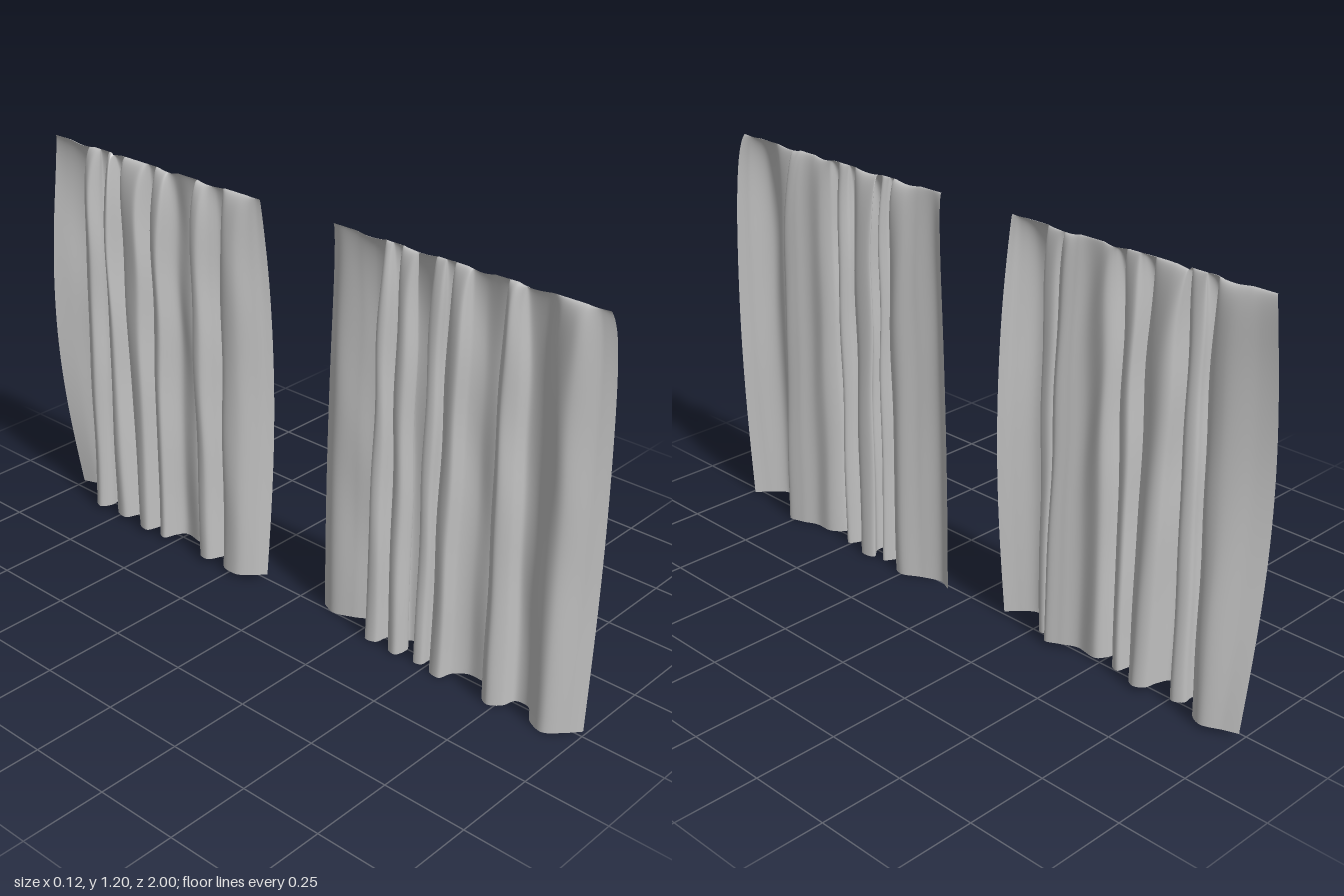
import * as THREE from 'three';

const fabric = new THREE.MeshStandardMaterial({ color: 0xc0c0c0, side: THREE.DoubleSide });
fabric.name = 'grey fabric';

const TOP = 1.208, CENTRE = -0.013;

const front = {
  name: 'frontCurtain',
  bottom: 0.003,
  // hem outline as [z, x]; z backtracks where a pleat folds over itself
  hem: [
    [0.085, 0.014], [0.13, -0.002], [0.19, 0.022], [0.25, 0.052], [0.285, 0.035], [0.28, -0.005], [0.285, -0.04],
    [0.32, -0.035], [0.33, 0.005], [0.35, 0.03], [0.365, 0.0], [0.37, -0.04], [0.40, -0.045], [0.41, 0.0],
    [0.385, 0.035], [0.43, 0.047], [0.46, 0.01], [0.46, -0.035], [0.485, -0.03], [0.49, 0.01], [0.51, 0.035],
    [0.53, 0.005], [0.52, -0.04], [0.56, -0.05], [0.575, -0.01], [0.61, 0.018], [0.67, 0.022], [0.72, 0.045],
    [0.77, 0.055], [0.775, 0.02], [0.73, 0.0], [0.70, -0.035], [0.73, -0.055], [0.765, -0.03], [0.78, 0.01],
    [0.82, 0.01], [0.86, -0.04], [0.91, -0.058], [0.96, -0.015], [0.99, 0.02],
  ],
  // sideways travel of the folds from hem to heading, as [z, shift]
  drift: [[0.1, 0], [0.28, 0.028], [0.33, 0.008], [0.38, 0], [0.47, 0.014], [0.56, 0.02], [0.68, 0], [0.77, -0.02], [0.9, 0]],
  // lean along z and bow along x of the two side edges
  lean: [v => 0.042 * v * v, v => 0.01 * v - 0.016 * v ** 30],
  bow: [0, 0.022],
};

const back = {
  name: 'backCurtain',
  bottom: 0.016,
  hem: [
    [-0.99, 0.018], [-0.95, 0.033], [-0.89, 0.058], [-0.85, 0.035], [-0.84, -0.01], [-0.85, -0.045], [-0.82, -0.06],
    [-0.80, -0.03], [-0.80, 0.005], [-0.77, 0.02], [-0.75, -0.005], [-0.755, -0.045], [-0.71, -0.055], [-0.69, -0.015],
    [-0.68, 0.025], [-0.65, 0.042], [-0.62, 0.02], [-0.62, -0.02], [-0.64, -0.05], [-0.60, -0.06], [-0.585, -0.02],
    [-0.575, 0.015], [-0.55, 0.005], [-0.555, -0.045], [-0.525, -0.058], [-0.51, -0.02], [-0.49, 0.005],
    [-0.42, 0.0], [-0.37, 0.025], [-0.33, 0.042], [-0.315, 0.01], [-0.35, -0.02], [-0.37, -0.05], [-0.335, -0.055],
    [-0.315, -0.02], [-0.30, 0.015], [-0.28, 0.01], [-0.285, -0.025], [-0.265, -0.055], [-0.21, -0.06],
    [-0.17, -0.03], [-0.14, 0.005],
  ],
  drift: [[-0.95, 0], [-0.84, 0.024], [-0.765, 0.012], [-0.66, -0.045], [-0.6, 0], [-0.52, 0.018], [-0.42, 0], [-0.33, -0.02], [-0.28, 0.012], [-0.17, 0]],
  lean: [v => -0.01 * v + 0.014 * v ** 30, v => 0.004 * Math.sin(v * 3)],
  bow: [-0.062, 0.034],
};

// Linear reading of a short table of [position, value] pairs
function readTable(table, z) {
  const k = table.findIndex(([at]) => at > z);
  if (k === 0) return table[0][1];
  if (k < 0) return table[table.length - 1][1];
  const [z0, s0] = table[k - 1], [z1, s1] = table[k];
  return THREE.MathUtils.lerp(s0, s1, THREE.MathUtils.smoothstep(z, z0, z1));
}

// Pleat depth: full at the hem, pinched flat along the heading
function pleatDepth(y) {
  const t = Math.max(0, (y - 0.85) / (TOP - 0.85));
  return Math.sqrt(Math.max(0, 1 - t ** 3));
}

function makeCurtain({ name, bottom, hem, drift, lean, bow }) {
  const curve = new THREE.CatmullRomCurve3(hem.map(([z, x]) => new THREE.Vector3(x, 0, z)), false, 'centripetal');
  const cols = 320, rows = 48;
  const outline = curve.getSpacedPoints(cols);
  const [zStart, zEnd] = [hem[0][0], hem[hem.length - 1][0]];
  const geo = new THREE.PlaneGeometry(1, 1, cols, rows);
  const pos = geo.attributes.position;
  for (let j = 0; j <= rows; j++) {
    // rows crowd together towards the heading
    const v = 1 - (j / rows) ** 1.8;
    const y = bottom + (TOP - bottom) * v;
    const depth = pleatDepth(y);
    for (let i = 0; i <= cols; i++) {
      const p = outline[i];
      const inside = Math.min(1, Math.min(p.z - zStart, zEnd - p.z) / 0.1);
      const nearStart = Math.max(0, 1 - (p.z - zStart) / 0.15);
      const nearEnd = Math.max(0, 1 - (zEnd - p.z) / 0.15);
      const shift = v * readTable(drift, p.z) + 0.003 * inside * v * Math.sin(v * 19 + p.z * 31)
        + nearStart * lean[0](v) + nearEnd * lean[1](v);
      // side edges bow at mid height; pleats towards +x grow shallower with height
      const swing = Math.sin(v * Math.PI) * (nearStart * bow[0] + nearEnd * bow[1]);
      let offset = p.x - CENTRE;
      if (offset > 0) offset *= 1 - 0.35 * v;
      const ripple = 0.002 * inside * Math.sin(v * 13 + p.z * 23);
      const dip = 0.006 * inside * Math.max(0, Math.sin(p.z * 34)) * v ** 12;
      pos.setXYZ(j * (cols + 1) + i, CENTRE + (offset + swing + ripple) * depth, y - dip, p.z + shift);
    }
  }
  geo.computeVertexNormals();
  const mesh = new THREE.Mesh(geo, fabric);
  mesh.name = name;
  return mesh;
}

export function createModel() {
  const group = new THREE.Group();
  group.name = 'curtainPair';
  group.add(makeCurtain(front), makeCurtain(back));
  return group;
}
